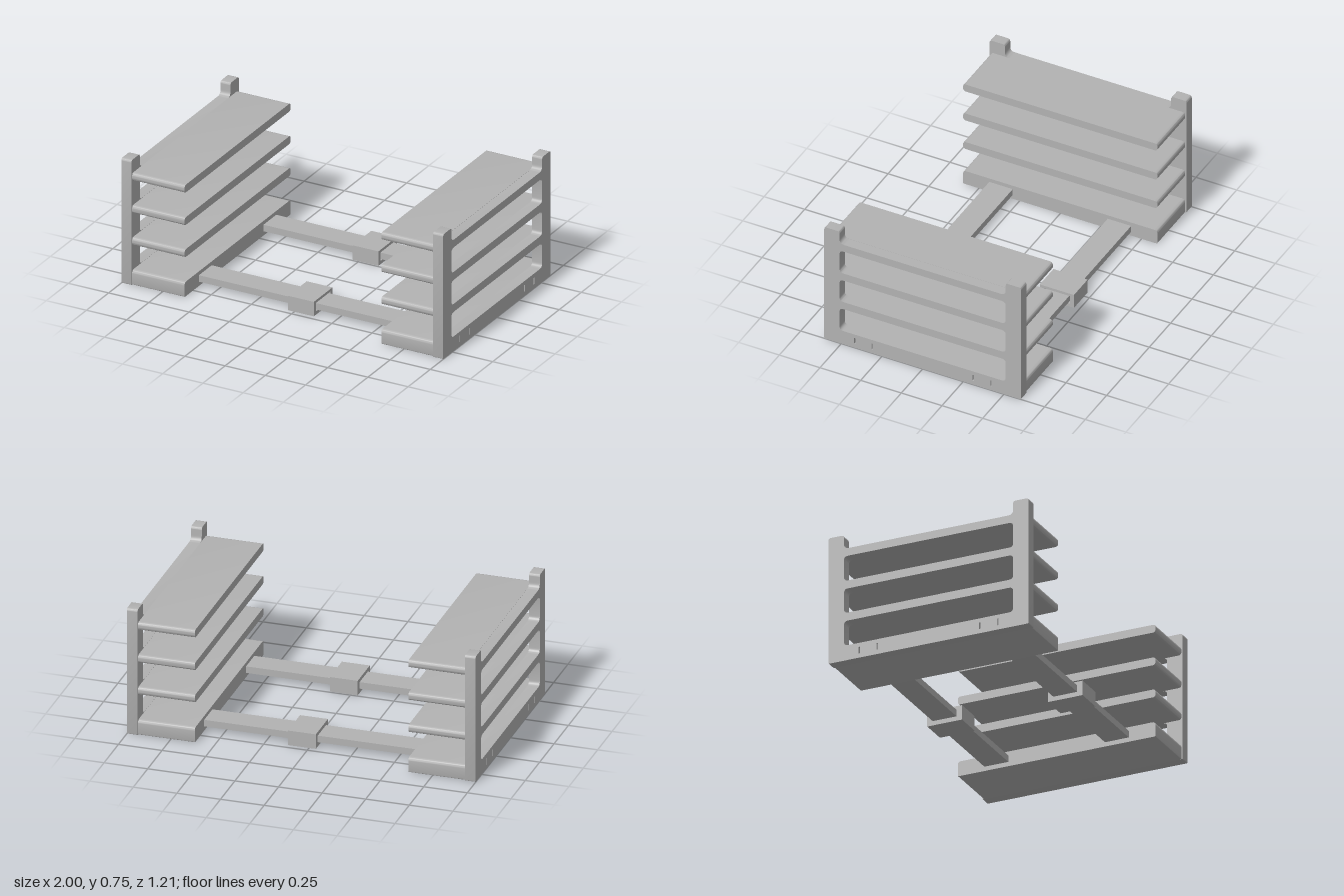
import * as THREE from 'three';
import { toCreasedNormals } from 'three/addons/utils/BufferGeometryUtils.js';

const grey = new THREE.MeshStandardMaterial({ color: 0xb2b2b2 });
grey.name = 'grey plastic';

// Polygon with rounded corners; each point is [x, y, radius]
function rounded(points, Type = THREE.Shape) {
  const path = new Type();
  const n = points.length;
  points.forEach(([x, y, r = 0], i) => {
    const toward = ([px, py]) => {
      const d = Math.hypot(px - x, py - y);
      return [x + ((px - x) * r) / d, y + ((py - y) * r) / d];
    };
    const a = toward(points[(i + n - 1) % n]);
    const b = toward(points[(i + 1) % n]);
    if (i === 0) path.moveTo(...a);
    else path.lineTo(...a);
    if (r > 0) path.quadraticCurveTo(x, y, ...b);
  });
  path.closePath();
  return path;
}

function rect(x0, x1, y0, y1, rBottom = 0, rTop = rBottom, Type = THREE.Shape) {
  return rounded([[x0, y0, rBottom], [x1, y0, rBottom], [x1, y1, rTop], [x0, y1, rTop]], Type);
}

function extrude(shape, depth) {
  return new THREE.ExtrudeGeometry(shape, { depth, bevelEnabled: false, curveSegments: 6 });
}

// Extrude a (z, y) profile along x, from x0 to x1
function alongX(shape, x0, x1) {
  const g = extrude(shape, x1 - x0).rotateY(Math.PI / 2).translate(x0, 0, 0);
  return toCreasedNormals(g, 0.6);
}

function add(parent, name, geometry) {
  const mesh = new THREE.Mesh(geometry, grey);
  mesh.name = name;
  parent.add(mesh);
  return mesh;
}

const RAIL_Z = 0.364;
const RAIL_Y = [0.026, 0.065];

// Slotted end frame with two raised posts
function frameShape() {
  const shape = rounded([
    [-0.605, 0, 0.006], [0.605, 0, 0.006], [0.605, 0.753, 0.015], [0.511, 0.753, 0.015],
    [0.511, 0.672, 0.03], [-0.511, 0.672, 0.03], [-0.511, 0.753, 0.015], [-0.605, 0.753, 0.015],
  ]);
  for (const [y0, y1] of [[0.089, 0.237], [0.285, 0.43], [0.478, 0.626]]) {
    shape.holes.push(rect(-0.511, 0.511, y0, y1, 0.025, 0.025, THREE.Path));
  }
  for (const s of [-1, 1]) {
    shape.holes.push(rect(s * RAIL_Z - 0.058, s * RAIL_Z + 0.058, ...RAIL_Y, 0, 0, THREE.Path));
  }
  return shape;
}

// Rail outline from above, with chamfered tongues that fit the frame slots
function railGeometry() {
  const half = [[0.94, 0.072], [0.94, 0.058], [0.985, 0.058], [1, 0.049]];
  const flip = (sx, sz) => half.map(([x, z]) => [sx * x, sz * z]);
  const outline = [
    ...flip(1, -1), ...flip(1, 1).reverse(), ...flip(-1, 1), ...flip(-1, -1).reverse(),
  ];
  const g = extrude(rounded(outline), RAIL_Y[1] - RAIL_Y[0]);
  return g.rotateX(-Math.PI / 2).translate(0, RAIL_Y[0], 0);
}

export function createModel() {
  const model = new THREE.Group();
  model.name = 'adjustableShelfRack';

  // Two facing shelf units
  for (const side of [-1, 1]) {
    const unit = new THREE.Group();
    unit.name = side > 0 ? 'leftUnit' : 'rightUnit';
    const span = (a, b) => (side > 0 ? [a, b] : [-b, -a]);

    add(unit, 'endFrame', alongX(frameShape(), ...span(0.938, 1)));
    add(unit, 'base', alongX(rect(-0.597, 0.597, 0, 0.088, 0.006, 0.02), ...span(0.612, 0.938)));
    [0.237, 0.43, 0.626].forEach((y, i) => {
      const profile = rect(-0.597, 0.597, y, y + 0.047, 0.018, 0.018);
      add(unit, `shelf${i + 1}`, alongX(profile, ...span(0.612, 0.938)));
    });
    model.add(unit);
  }

  // Connecting rails, each with a coupling sleeve open on one end
  for (const s of [-1, 1]) {
    const link = new THREE.Group();
    link.name = s > 0 ? 'frontLink' : 'backLink';
    link.position.z = s * RAIL_Z;
    add(link, 'rail', railGeometry());
    add(link, 'sleeveBlock', alongX(rect(-0.105, 0.105, 0, 0.087), -0.039, 0.04));
    const ring = rect(-0.105, 0.105, 0, 0.087);
    ring.holes.push(rect(-0.08, 0.08, 0.02, 0.071, 0, 0, THREE.Path));
    add(link, 'sleeveMouth', alongX(ring, 0.04, 0.121));
    model.add(link);
  }
  return model;
}
